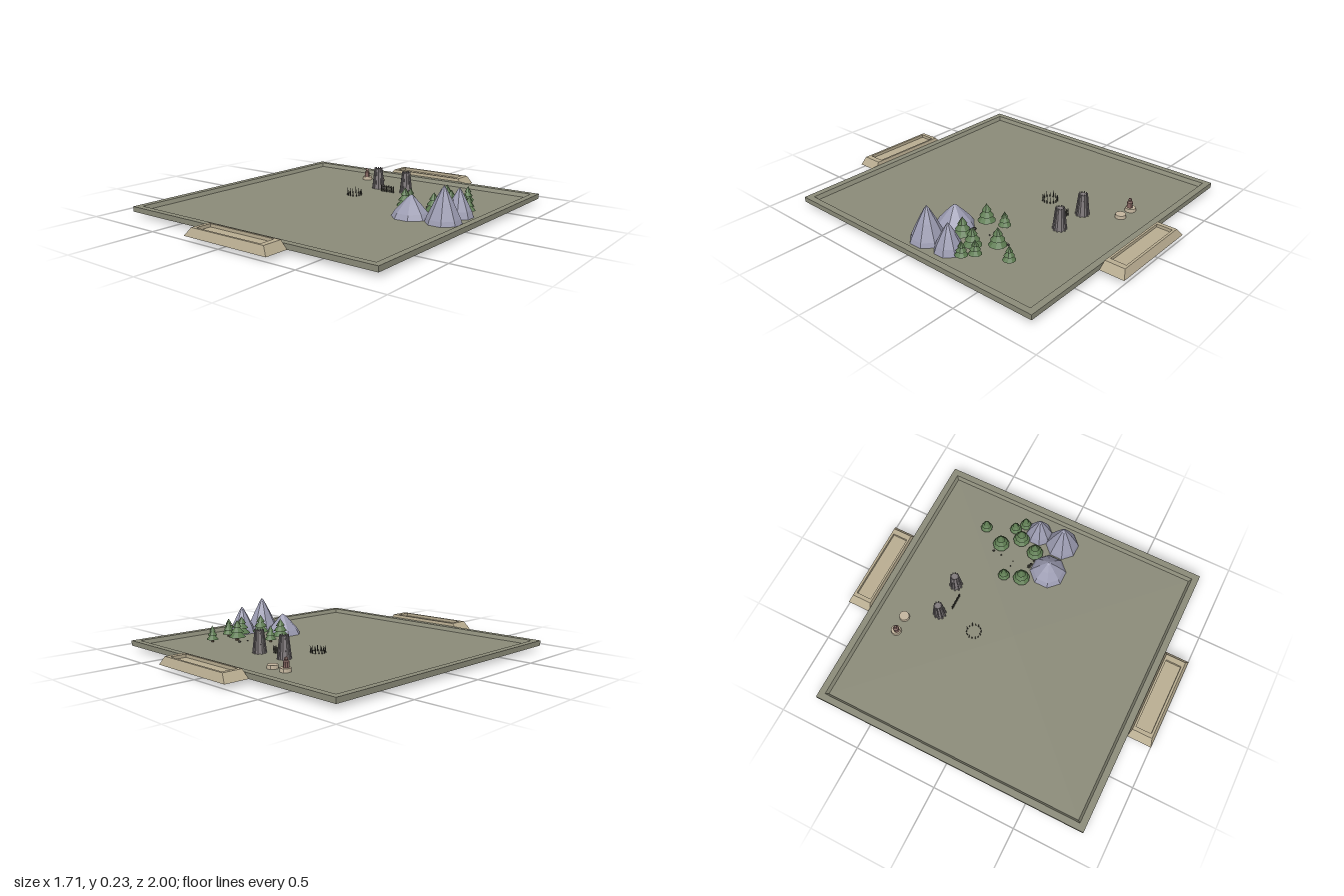
import * as THREE from 'three';

const mat = (color, side = THREE.FrontSide) =>
  new THREE.MeshStandardMaterial({ color, flatShading: true, roughness: 0.9, side });
const M = {
  board: mat(0x8a8a78), tray: mat(0xb8ac90, THREE.DoubleSide), rock: mat(0x9c9cb2, THREE.DoubleSide),
  leaf: mat(0x5c7a50), bark: mat(0x5e4c3c), post: mat(0x807a7c), dark: mat(0x45443c),
  stone: mat(0xc2b49c), figure: mat(0x846660)
};

function add(parent, name, geometry, material, x = 0, y = 0, z = 0) {
  const mesh = new THREE.Mesh(geometry, material);
  mesh.name = name;
  mesh.position.set(x, y, z);
  parent.add(mesh);
  return mesh;
}

function group(parent, name, x = 0, y = 0, z = 0) {
  const g = new THREE.Group();
  g.name = name;
  g.position.set(x, y, z);
  parent.add(g);
  return g;
}

// Skin over a stack of rectangles [x0, x1, z0, z1, y], running outward, up and in
function rectSkin(rings) {
  const pos = [];
  const corners = ([x0, x1, z0, z1, y]) => [[x0, y, z1], [x1, y, z1], [x1, y, z0], [x0, y, z0]];
  for (let i = 0; i < rings.length - 1; i++) {
    const lo = corners(rings[i]), hi = corners(rings[i + 1]);
    for (let j = 0; j < 4; j++) {
      const k = (j + 1) % 4;
      pos.push(...lo[j], ...lo[k], ...hi[k], ...lo[j], ...hi[k], ...hi[j]);
    }
  }
  const g = new THREE.BufferGeometry();
  g.setAttribute('position', new THREE.Float32BufferAttribute(pos, 3));
  g.computeVertexNormals();
  return g;
}

const FLOOR = 0.03;

function tree(parent, x, z, r, top) {
  const g = group(parent, 'tree', x, FLOOR, z);
  const h = top - FLOOR;
  add(g, 'trunk', new THREE.CylinderGeometry(r * 0.18, r * 0.22, h * 0.25, 6), M.bark, 0, h * 0.125, 0);
  // three overlapping tiers of branches
  [[1, 0.17, 0.42], [0.78, 0.42, 0.36], [0.52, 0.66, 0.34]].forEach(([s, y, t]) =>
    add(g, 'branches', new THREE.ConeGeometry(r * s, h * t, 9), M.leaf, 0, h * (y + t / 2), 0));
}

function mountain(parent, x, z, r, base, top) {
  const h = top - base;
  const profile = [[r, 0], [r * 0.84, h * 0.24], [r * 0.46, h * 0.62], [r * 0.13, h * 0.92], [0, h]]
    .map(([a, b]) => new THREE.Vector2(a, b));
  const m = add(parent, 'mountain', new THREE.LatheGeometry(profile, 8), M.rock, x, base, z);
  m.rotation.y = Math.PI / 8;
}

function tower(parent, x, z) {
  const g = group(parent, 'tower', x, FLOOR, z);
  add(g, 'core', new THREE.CylinderGeometry(0.02, 0.034, 0.128, 10), M.post, 0, 0.064, 0);
  // leaning posts around the core
  for (let i = 0; i < 10; i++) {
    const arm = group(g, 'post');
    arm.rotation.y = i * Math.PI / 5;
    const p = add(arm, 'postShaft', new THREE.CylinderGeometry(0.004, 0.006, 0.136, 5), M.post, 0, 0.067, 0.029);
    p.rotation.x = -0.1;
  }
}

export function createModel() {
  const model = new THREE.Group();
  model.name = 'gameBoard';

  // Square board with a raised rim and sloping inner wall
  const sq = (s, y) => [-s, s, -s, s, y];
  add(model, 'board', rectSkin([sq(0, 0.023), sq(0.853, 0.023), sq(0.853, 0.053),
    sq(0.815, 0.053), sq(0.802, FLOOR), sq(0, FLOOR)]), M.board);

  // Hollow trays at front and back
  for (const s of [1, -1]) {
    const ring = (x0, x1, a, b, y) => [x0, x1, Math.min(a * s, b * s), Math.max(a * s, b * s), y];
    add(model, s > 0 ? 'frontTray' : 'backTray', rectSkin([
      ring(-0.25, 0.32, 0.853, 1, 0.023), ring(-0.212, 0.29, 0.862, 0.982, 0.07),
      ring(-0.188, 0.257, 0.874, 0.968, 0.07), ring(-0.188, 0.257, 0.874, 0.968, 0.052),
      ring(0.035, 0.035, 0.92, 0.92, 0.052)]), M.tray);
  }

  // Mountains
  mountain(model, 0.68, 0, 0.112, 0, 0.235);
  mountain(model, 0.475, 0, 0.112, FLOOR, 0.157);
  mountain(model, 0.685, -0.16, 0.083, FLOOR, 0.195);

  // Wood: x, z, radius, top
  [[0.57, -0.475, 0.037, 0.13], [0.505, -0.34, 0.052, 0.155], [0.325, -0.23, 0.037, 0.13],
    [0.64, -0.305, 0.037, 0.13], [0.59, -0.24, 0.052, 0.155], [0.695, -0.26, 0.037, 0.13],
    [0.355, -0.125, 0.052, 0.155], [0.545, -0.125, 0.052, 0.155]].forEach(t => tree(model, ...t));

  // Small stones among the trees
  [[0.45, -0.12, 0.012], [0.47, -0.115, 0.01], [0.45, -0.365, 0.008], [0.445, -0.31, 0.005],
    [0.405, -0.225, 0.005], [0.44, -0.225, 0.005], [0.5, -0.11, 0.008]].forEach(([x, z, r]) =>
    add(model, 'stone', new THREE.IcosahedronGeometry(r, 0), M.dark, x, FLOOR + r * 0.4, z));

  // Gate: two towers and a picket fence between them
  tower(model, -0.07, -0.465);
  tower(model, 0.14, -0.465);
  const fence = group(model, 'fence', 0.037, FLOOR, -0.41);
  for (const y of [0.012, 0.032]) add(fence, 'rail', new THREE.BoxGeometry(0.096, 0.004, 0.004), M.dark, 0, y, 0);
  for (let i = 0; i < 8; i++) {
    const x = -0.045 + i * 0.09 / 7;
    add(fence, 'picket', new THREE.BoxGeometry(0.005, 0.038, 0.005), M.dark, x, 0.019, 0);
    add(fence, 'picketTip', new THREE.ConeGeometry(0.0035, 0.008, 4), M.dark, x, 0.042, 0);
  }

  // Ring of sharpened stakes driven through the board
  const ring = group(model, 'stakeRing', -0.083, 0.01, -0.225);
  for (let i = 0; i < 14; i++) {
    const arm = group(ring, 'stake');
    arm.rotation.y = i * Math.PI / 7;
    const h = 0.05 + 0.006 * (i % 3);
    const s = add(arm, 'stakeShaft', new THREE.CylinderGeometry(0.001, 0.005, h, 5), M.dark, 0, h / 2, 0.043);
    s.rotation.x = (i % 2 ? 1 : -1) * 0.12;
  }

  // Two stone discs, one carrying a small figure
  for (const x of [-0.285, -0.185])
    add(model, 'plinth', new THREE.CylinderGeometry(0.03, 0.032, 0.02, 12), M.stone, x, FLOOR + 0.01, -0.645);
  const body = [[0, 0], [0.017, 0], [0.016, 0.02], [0.017, 0.032], [0.009, 0.038], [0.011, 0.046], [0.007, 0.054], [0, 0.056]]
    .map(([a, b]) => new THREE.Vector2(a, b));
  add(model, 'figure', new THREE.LatheGeometry(body, 10), M.figure, -0.285, FLOOR + 0.02, -0.64);
  return model;
}
